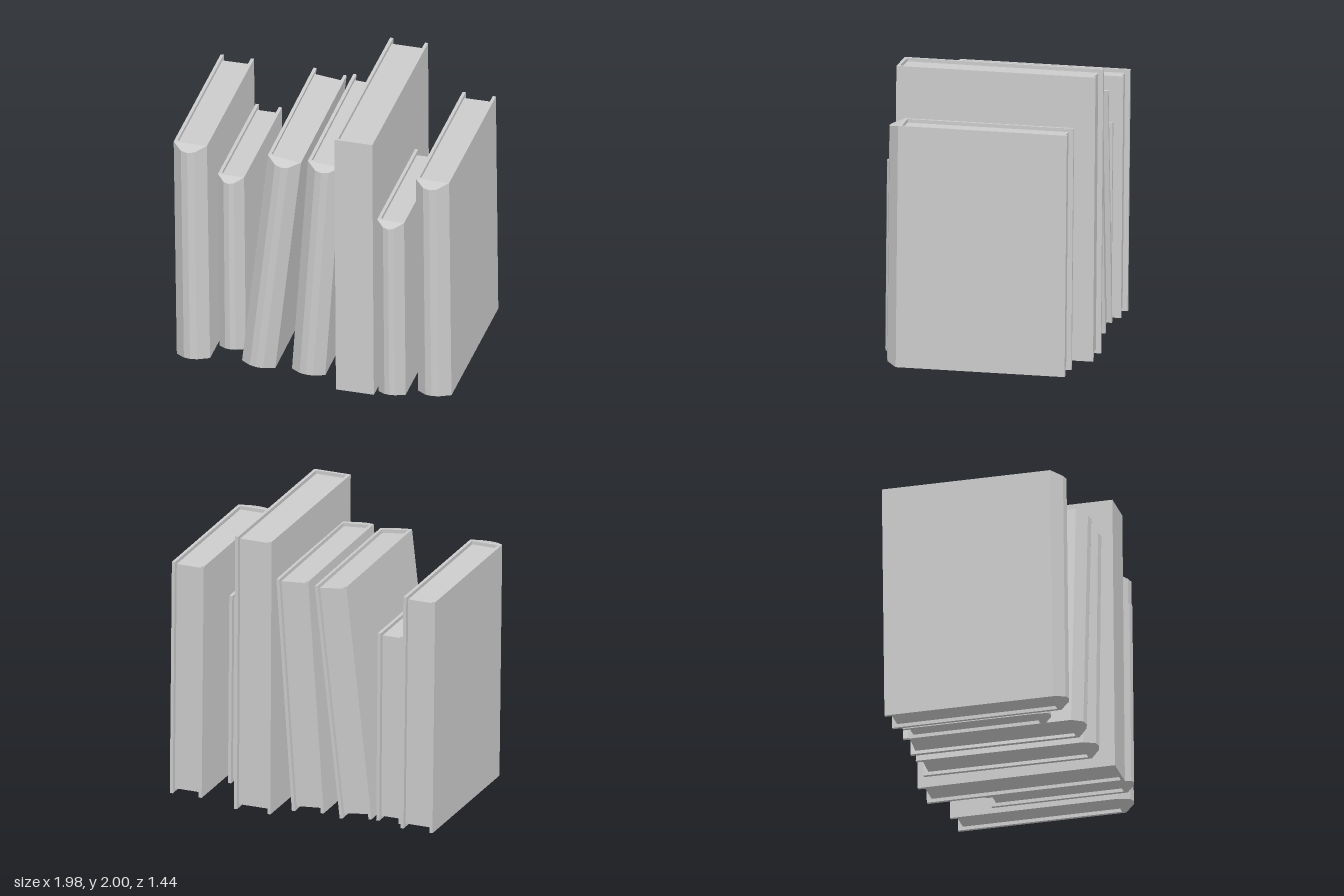
import * as THREE from 'three';
import { ConvexGeometry } from 'three/addons/geometries/ConvexGeometry.js';

const material = new THREE.MeshStandardMaterial({ color: 0xcccccc, flatShading: true });
const BOARD = 0.022; // thickness of the cover boards
const INSET = 0.025; // how far the pages sit inside the boards

function addBox(parent, name, w, h, d, x, y, z) {
  const mesh = new THREE.Mesh(new THREE.BoxGeometry(w, h, d), material);
  mesh.name = name;
  mesh.position.set(x, y, z);
  parent.add(mesh);
}

// Faceted rounded spine whose ends slope in towards its ridge
function addRoundSpine(parent, w, h, front, bulge) {
  const profile = [[-0.5, 0], [-0.2, 0.85], [0, 1], [0.2, 0.85], [0.5, 0]];
  const points = [];
  for (const [u, v] of profile) {
    const trim = 0.025 * v;
    for (const y of [trim, h - trim]) points.push(new THREE.Vector3(u * w, y, front + v * bulge));
  }
  for (const x of [-w / 2, w / 2])
    for (const y of [0, h]) points.push(new THREE.Vector3(x, y, front - BOARD));
  const mesh = new THREE.Mesh(new ConvexGeometry(points), material);
  mesh.name = 'roundSpine';
  parent.add(mesh);
}

// A book standing on its base, spine facing +z; bulge 0 gives a flat spine
function makeBook({ x, y, w, h, back, front, bulge, roll, yaw }) {
  const book = new THREE.Group();
  book.name = 'book';
  const mid = (back + front) / 2, d = front - back;
  for (const side of [-1, 1])
    addBox(book, side < 0 ? 'rightCover' : 'leftCover', BOARD, h, d - BOARD,
      side * (w - BOARD) / 2, h / 2, -BOARD / 2);
  addBox(book, 'pages', w - 2 * BOARD, h - 2 * INSET, d - BOARD - 0.035,
    0, h / 2, (0.035 - BOARD) / 2);
  if (bulge > 0) addRoundSpine(book, w, h, d / 2, bulge);
  else addBox(book, 'flatSpine', w, h, BOARD, 0, h / 2, d / 2 - BOARD / 2);
  book.position.set(x, y, mid);
  book.rotation.set(-0.007, yaw, roll);
  return book;
}

export function createModel() {
  const books = [
    { x: -0.845, y: 0.02, w: 0.235, h: 1.685, back: -0.643, front: 0.537, bulge: 0.085, roll: 0.015, yaw: -0.008 },
    { x: -0.615, y: 0.025, w: 0.185, h: 1.365, back: -0.58, front: 0.368, bulge: 0.07, roll: 0.011, yaw: -0.008 },
    { x: -0.387, y: 0.036, w: 0.235, h: 1.675, back: -0.628, front: 0.55, bulge: 0.08, roll: -0.107, yaw: 0 },
    { x: -0.035, y: 0.033, w: 0.235, h: 1.675, back: -0.625, front: 0.55, bulge: 0.08, roll: -0.065, yaw: 0 },
    { x: 0.335, y: 0.01, w: 0.268, h: 1.985, back: -0.7, front: 0.685, bulge: 0, roll: 0.0075, yaw: -0.011 },
    { x: 0.585, y: 0.027, w: 0.19, h: 1.365, back: -0.3, front: 0.652, bulge: 0.07, roll: 0.01, yaw: -0.008 },
    { x: 0.863, y: 0.02, w: 0.235, h: 1.685, back: -0.608, front: 0.566, bulge: 0.085, roll: 0.012, yaw: -0.008 },
  ];
  const model = new THREE.Group();
  model.name = 'bookRow';
  for (const spec of books) model.add(makeBook(spec));
  return model;
}
